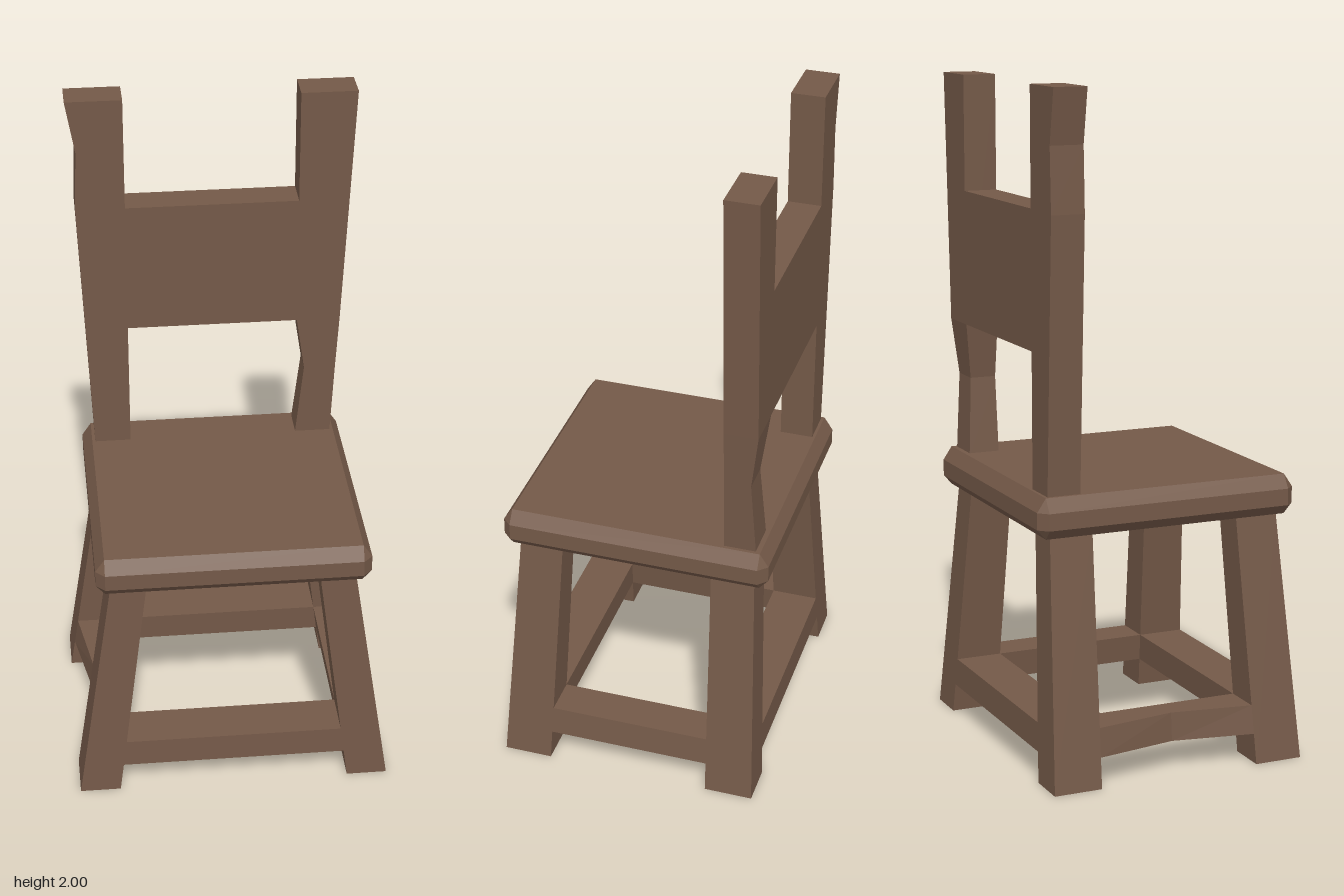
import * as THREE from 'three';

const wood = new THREE.MeshStandardMaterial({ color: 0x745948 });
wood.name = 'brown wood';

// Solid through horizontal rings of [x, z] corners, counter-clockwise from above
function loft(name, sections) {
  const pos = [];
  const tri = (...pts) => pts.forEach(p => pos.push(...p));
  const rings = sections.map(([y, ring]) => ring.map(([x, z]) => [x, y, z]));
  const n = rings[0].length;
  for (let s = 0; s < rings.length - 1; s++) {
    const lo = rings[s], hi = rings[s + 1];
    for (let i = 0; i < n; i++) {
      const j = (i + 1) % n;
      tri(lo[i], lo[j], hi[j]);
      tri(lo[i], hi[j], hi[i]);
    }
  }
  const bottom = rings[0], top = rings[rings.length - 1];
  for (let i = 1; i < n - 1; i++) {
    tri(top[0], top[i], top[i + 1]);
    tri(bottom[0], bottom[i + 1], bottom[i]);
  }
  const geo = new THREE.BufferGeometry();
  geo.setAttribute('position', new THREE.Float32BufferAttribute(pos, 3));
  geo.computeVertexNormals();
  const mesh = new THREE.Mesh(geo, wood);
  mesh.name = name;
  return mesh;
}

// Rectangle ring; the bounds may come in either order
function rect(xa, xb, za, zb) {
  const x0 = Math.min(xa, xb), x1 = Math.max(xa, xb);
  const z0 = Math.min(za, zb), z1 = Math.max(za, zb);
  return [[x0, z1], [x1, z1], [x1, z0], [x0, z0]];
}

// Square ring with cut corners
const octagon = (r, c) => [[-c, r], [c, r], [r, c], [r, -c], [c, -r], [-c, -r], [-r, -c], [-r, c]];

// Outer and inner faces of the splayed legs at height y
function legAt(y) {
  const t = y / 0.73;
  return { xo: 0.475 - 0.11 * t, xi: 0.352 - 0.094 * t, zo: 0.397 - 0.035 * t, zi: 0.25 - 0.02 * t };
}

export function createModel() {
  const chair = new THREE.Group();
  chair.name = 'chair';

  // Seat with chamfered edges and corners
  chair.add(loft('seat', [
    [0.73, octagon(0.38, 0.38)],
    [0.76, octagon(0.407, 0.38)],
    [0.81, octagon(0.407, 0.38)],
    [0.85, octagon(0.38, 0.38)],
  ]));

  // Splayed legs
  for (const sx of [-1, 1]) for (const sz of [-1, 1]) {
    const name = (sz > 0 ? 'front' : 'back') + (sx > 0 ? 'Left' : 'Right') + 'Leg';
    chair.add(loft(name, [0, 0.74].map(y => {
      const l = legAt(y);
      return [y, rect(sx * l.xi, sx * l.xo, sz * l.zi, sz * l.zo)];
    })));
  }

  // Stretchers flush with the legs; the right one has a worn notch
  const bars = [0.09, 0.175];
  for (const s of [-1, 1]) {
    chair.add(loft(s > 0 ? 'frontStretcher' : 'backStretcher', bars.map(y => {
      const l = legAt(y);
      return [y, rect(-l.xi, l.xi, s * l.zi, s * l.zo)];
    })));
  }
  chair.add(loft('leftStretcher', bars.map(y => {
    const l = legAt(y);
    return [y, rect(l.xi, l.xo, -l.zi, l.zi)];
  })));
  chair.add(loft('rightStretcher', bars.map(y => {
    const l = legAt(y);
    return [y, [[y < 0.1 ? -0.417 : -0.41, 0], ...rect(-l.xo, -l.xi, -l.zi, l.zi)]];
  })));

  // Back posts with uneven, hewn edges: y, outer x, inner x, back z
  const front = -0.27, back = -0.371;
  const post = (name, rows) => chair.add(loft(name,
    rows.map(([y, xo, xi, zb]) => [y, rect(xo, xi, zb, front)])));
  post('rightPost', [
    [0.84, -0.37, -0.26, back],
    [1.65, -0.407, -0.26, back],
    [1.84, -0.4, -0.26, back],
    [2, -0.428, -0.26, back],
  ]);
  post('leftPost', [
    [0.84, 0.369, 0.259, -0.366],
    [1.08, 0.381, 0.284, -0.35],
    [1.25, 0.391, 0.259, back],
    [2, 0.427, 0.259, back],
  ]);

  // Back panel
  const panel = rect(-0.26, 0.259, back, front);
  chair.add(loft('backPanel', [[1.25, panel], [1.655, panel]]));

  // Slight twist
  chair.rotation.y = 0.013;
  const model = new THREE.Group();
  model.name = 'woodenChair';
  model.add(chair);
  return model;
}
